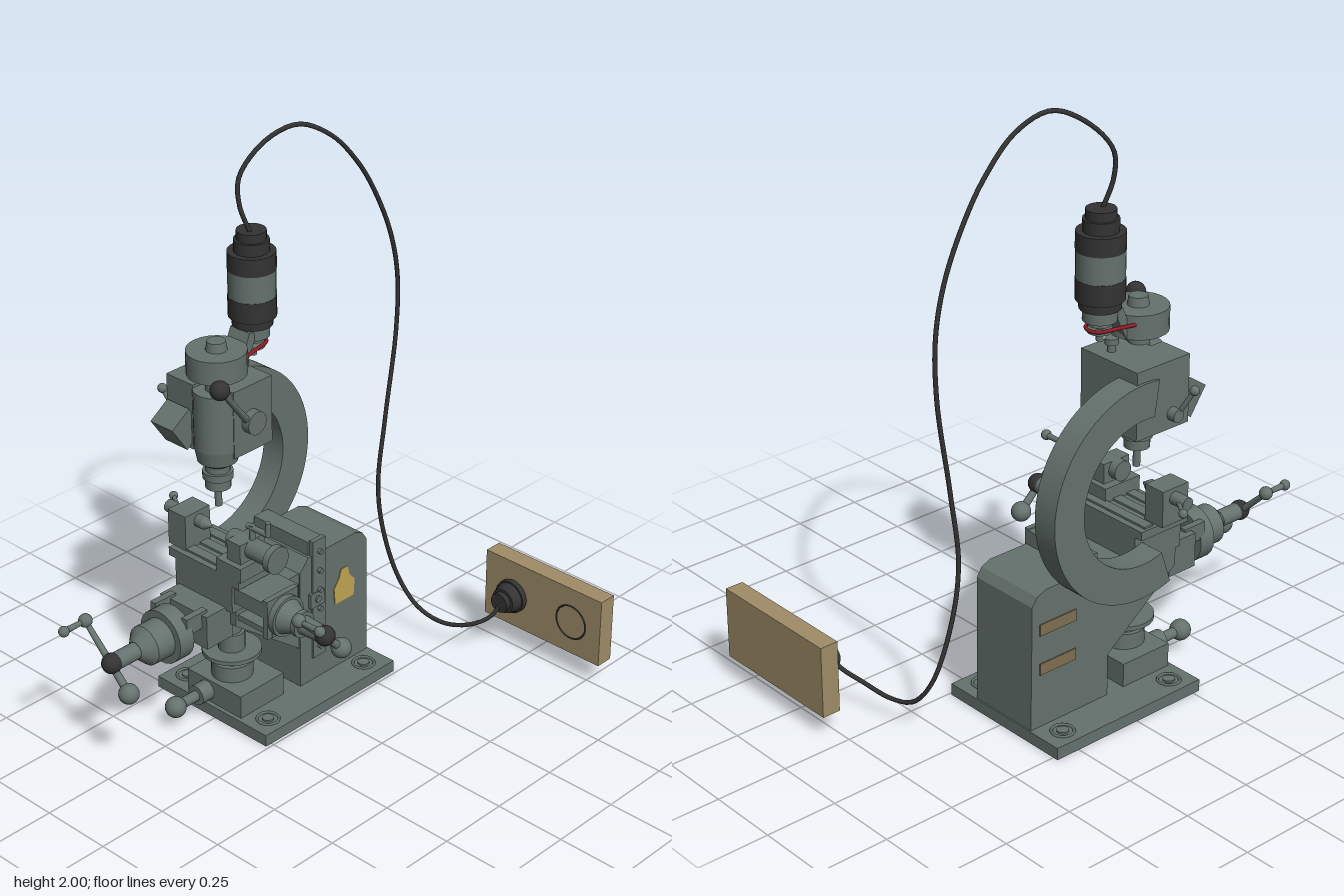
import * as THREE from 'three';

const mat = (name, color) => Object.assign(new THREE.MeshStandardMaterial({ color }), { name });

export function createModel() {
  const root = new THREE.Group();
  root.name = 'millingMachine';
  const iron = mat('greyIron', 0x65726d), black = mat('blackPlastic', 0x333333);
  const wood = mat('wood', 0xa08c68), brass = mat('brassPlate', 0xc0a552);
  const red = mat('redBelt', 0x8e1c24), bronze = mat('bronzeLabel', 0x806f50);
  const V = (x, y, z) => new THREE.Vector3(x, y, z);

  const add = (name, geo, m, parent = root) => {
    const mesh = new THREE.Mesh(geo, m);
    mesh.name = name;
    parent.add(mesh);
    return mesh;
  };
  // Box given by its limits
  const box = (name, x0, x1, y0, y1, z0, z1, m = iron) => {
    const b = add(name, new THREE.BoxGeometry(x1 - x0, y1 - y0, z1 - z0), m);
    b.position.set((x0 + x1) / 2, (y0 + y1) / 2, (z0 + z1) / 2);
    return b;
  };
  // Cylinder or cone between two points
  const rod = (name, a, b, r0, r1 = r0, m = iron, parent = root) => {
    const d = b.clone().sub(a);
    const c = add(name, new THREE.CylinderGeometry(r1, r0, d.length(), 24), m, parent);
    c.position.copy(a).addScaledVector(d, 0.5);
    c.quaternion.setFromUnitVectors(V(0, 1, 0), d.normalize());
    return c;
  };
  const ball = (name, p, r, m = iron, parent = root) => {
    const s = add(name, new THREE.SphereGeometry(r, 20, 14), m, parent);
    s.position.copy(p);
    return s;
  };
  // Upright turned part: rows of [bottom, top, bottom radius, top radius]
  const turned = (name, x, z, rows, m = iron) => rows.forEach(([y0, y1, r0, r1 = r0]) =>
    rod(name, V(x, y0, z), V(x, y1, z), r0, r1, m));
  // Side outline in (-z, y), extruded along x
  const side = (name, shape, x0, x1, m = iron) => {
    const g = new THREE.ExtrudeGeometry(shape, { depth: x1 - x0, bevelEnabled: false, curveSegments: 32 });
    g.rotateY(Math.PI / 2).translate(x0, 0, 0);
    return add(name, g, m);
  };
  const poly = pts => new THREE.Shape(pts.map(([z, y]) => new THREE.Vector2(-z, y)));

  // Base plate with bolt seats
  box('basePlate', -0.52, -0.01, 0, 0.042, -0.34, 0.275);
  for (const x of [-0.455, -0.075]) for (const z of [-0.26, 0.2]) {
    const ring = add('boltSeat', new THREE.TorusGeometry(0.036, 0.005, 6, 28), iron);
    ring.rotation.x = Math.PI / 2;
    ring.position.set(x, 0.043, z);
    rod('baseBolt', V(x, 0.04, z), V(x, 0.048, z), 0.02);
  }
  box('underLabel', -0.32, -0.2, -0.001, 0.002, -0.1, 0.0, brass).position.y = 0.001;

  // Column, its bolted edge strip and labels
  side('column', poly([[-0.01, 0.04], [-0.01, 0.48], [-0.05, 0.525], [-0.275, 0.525],
    [-0.31, 0.51], [-0.33, 0.48], [-0.335, 0.04]]), -0.39, -0.13);
  box('columnCap', -0.39, -0.14, 0.5, 0.575, -0.125, -0.06);
  box('edgeStrip', -0.14, -0.123, 0.13, 0.58, -0.125, -0.065);
  for (let i = 0; i < 6; i++) {
    const y = 0.17 + i * 0.073;
    rod('stripBolt', V(-0.13, y, -0.095), V(-0.112, y, -0.095), 0.009);
  }
  box('switchPlate', -0.13, -0.119, 0.33, 0.385, -0.115, -0.05);
  rod('switchButton', V(-0.12, 0.358, -0.083), V(-0.113, 0.358, -0.083), 0.012);
  side('brassBadge', poly([[-0.175, 0.29], [-0.17, 0.35], [-0.195, 0.385], [-0.205, 0.415],
    [-0.235, 0.415], [-0.245, 0.38], [-0.27, 0.35], [-0.265, 0.29]]), -0.13, -0.127, brass);
  for (const y of [0.23, 0.37]) box('sideLabel', -0.394, -0.39, y, y + 0.04, -0.3, -0.15, bronze);

  // Curved overhead arm
  const arm = new THREE.Shape();
  arm.absarc(-0.05, 0.78, 0.37, -1.9, 1.72, false);
  arm.absarc(-0.05, 0.78, 0.25, 1.72, -1.9, true);
  side('curvedArm', arm, -0.48, -0.39);

  // Head bracket and spindle
  box('headBlock', -0.47, -0.35, 0.96, 1.19, 0.02, 0.24);
  box('headBridge', -0.36, -0.22, 0.955, 1.19, 0.02, 0.19);
  const clamp = box('tiltedClamp', -0.46, -0.36, 0.98, 1.09, 0.21, 0.3);
  clamp.rotation.x = 0.6;
  turned('spindleHousing', -0.297, 0.19, [[1.18, 1.24, 0.035], [0.98, 1.18, 0.075],
    [0.93, 0.98, 0.066, 0.075], [0.915, 0.93, 0.045, 0.066], [0.89, 0.915, 0.04],
    [0.865, 0.89, 0.05], [0.83, 0.865, 0.042], [0.76, 0.83, 0.012]]);
  turned('pulleyGuard', -0.297, 0.185, [[1.235, 1.315, 0.098], [1.315, 1.345, 0.035, 0.03]]);

  // Feed lever on the spindle side
  rod('feedLeverHub', V(-0.26, 1.065, 0.115), V(-0.19, 1.065, 0.115), 0.04);
  rod('feedLever', V(-0.22, 1.05, 0.115), V(-0.148, 1.27, 0.315), 0.013, 0.008);
  ball('feedLeverKnob', V(-0.148, 1.272, 0.317), 0.032, black);
  ball('feedLeverEnd', V(-0.222, 1.045, 0.112), 0.022);

  // Clamp lever on the arm side
  rod('clampShaft', V(-0.5, 1.01, 0.17), V(-0.45, 1.01, 0.17), 0.022);
  rod('clampLever', V(-0.485, 1.01, 0.18), V(-0.535, 1.1, 0.2), 0.008);
  ball('clampKnob', V(-0.535, 1.1, 0.2), 0.016);

  // Motor, its bracket and the belt
  turned('motorBody', -0.297, 0.025, [[1.35, 1.38, 0.066], [1.38, 1.45, 0.078],
    [1.54, 1.6, 0.078], [1.6, 1.64, 0.057], [1.64, 1.67, 0.048]], black);
  turned('motorBand', -0.297, 0.025, [[1.45, 1.54, 0.077]]);
  turned('motorNose', -0.297, 0.025, [[1.31, 1.35, 0.055], [1.295, 1.31, 0.04],
    [1.27, 1.28, 0.04], [1.24, 1.3, 0.012]]);
  turned('motorPost', -0.297, 0.075, [[1.18, 1.235, 0.014], [1.215, 1.235, 0.022]]);
  side('motorBracket', poly([[0.13, 1.23], [0.1, 1.23], [0.06, 1.31], [0.03, 1.31],
    [0.03, 1.345], [0.08, 1.345]]), -0.34, -0.255);
  for (const s of [-1, 1]) rod('driveBelt', V(-0.297 + s * 0.04, 1.285, 0.02),
    V(-0.297 + s * 0.07, 1.285, 0.15), 0.006, 0.006, red);
  const loop = add('driveBelt', new THREE.TorusGeometry(0.04, 0.006, 6, 20, Math.PI), red);
  loop.rotation.x = -Math.PI / 2;
  loop.position.set(-0.297, 1.285, 0.02);

  // Knee: two ribs, top slab and sloping web
  for (const x of [-0.39, -0.165]) side('kneeRib', poly([[-0.01, 0.19], [0.28, 0.41],
    [0.28, 0.48], [-0.01, 0.48]]), x, x + 0.03);
  side('kneeWeb', poly([[-0.01, 0.29], [0.12, 0.39], [0.28, 0.43], [0.28, 0.48], [-0.01, 0.48]]), -0.37, -0.15);

  // Elevating screw and its gearbox
  box('screwBase', -0.39, -0.14, 0.04, 0.125, 0.06, 0.26);
  turned('elevatingScrew', -0.27, 0.17, [[0.12, 0.18, 0.07], [0.18, 0.21, 0.055, 0.045],
    [0.21, 0.225, 0.1], [0.225, 0.29, 0.045], [0.29, 0.45, 0.033]]);
  rod('screwShaft', V(-0.3, 0.082, 0.25), V(-0.3, 0.082, 0.31), 0.035);
  rod('screwShaft', V(-0.3, 0.082, 0.3), V(-0.3, 0.082, 0.4), 0.018);
  ball('screwKnob', V(-0.3, 0.082, 0.402), 0.036);

  // Saddle, slides and work table
  box('saddle', -0.39, -0.13, 0.47, 0.57, 0.1, 0.3);
  box('workTable', -0.42, -0.1, 0.57, 0.6, 0.1, 0.3);
  for (const z of [0.14, 0.2, 0.26]) box('tableRail', -0.41, -0.11, 0.598, 0.607, z - 0.018, z + 0.018);
  box('crossSlide', -0.14, 0.0, 0.505, 0.56, 0.13, 0.29);
  box('crossSlideBar', -0.14, 0.02, 0.43, 0.45, 0.17, 0.27);
  box('crossSlideEnd', -0.002, 0.018, 0.43, 0.57, 0.15, 0.29);
  box('frontApron', -0.375, -0.16, 0.36, 0.48, 0.27, 0.385);
  for (const x of [-0.34, -0.195]) box('frontSlideBar', x - 0.012, x + 0.012, 0.43, 0.49, 0.36, 0.45);
  rod('feedScrew', V(-0.265, 0.41, 0.3), V(-0.265, 0.41, 0.45), 0.03);

  // Hand crank along local +x, with its turned bearing
  const crank = (name, x, y, z, turn, rows) => {
    const g = new THREE.Group();
    g.name = name;
    g.position.set(x, y, z);
    g.rotation.y = turn;
    root.add(g);
    rows.forEach(([a, b, r0, r1 = r0]) => rod('bearing', V(a, 0, 0), V(b, 0, 0), r0, r1, iron, g));
    ball('hub', V(0, 0, 0), 0.034, black, g);
    rod('crankArm', V(0, -0.08, -0.075), V(0, 0.105, 0.115), 0.014, 0.009, iron, g);
    ball('counterweight', V(0, -0.08, -0.075), 0.034, iron, g);
    ball('armEnd', V(0, 0.108, 0.117), 0.023, iron, g);
    rod('handle', V(0, 0.108, 0.117), V(0.09, 0.108, 0.117), 0.008, 0.011, iron, g);
    ball('handleTip', V(0.09, 0.108, 0.117), 0.018, iron, g);
  };
  crank('sideCrank', 0.2, 0.495, 0.218, 0, [[-0.2, -0.16, 0.07], [-0.16, -0.11, 0.06, 0.035],
    [-0.11, -0.09, 0.045], [-0.09, 0, 0.032, 0.028]]);
  crank('frontCrank', -0.265, 0.41, 0.7, -Math.PI / 2, [[-0.27, -0.21, 0.093], [-0.21, -0.14, 0.068],
    [-0.14, -0.1, 0.068, 0.03], [-0.1, 0, 0.029]]);

  // Tailstock and dividing head on the table
  box('tailstock', -0.44, -0.36, 0.6, 0.725, 0.17, 0.28);
  rod('tailstockQuill', V(-0.5, 0.69, 0.22), V(-0.33, 0.69, 0.22), 0.022);
  rod('tailstockPoint', V(-0.33, 0.69, 0.22), V(-0.3, 0.69, 0.22), 0.022, 0.003);
  rod('tailstockLever', V(-0.48, 0.69, 0.2), V(-0.535, 0.69, 0.165), 0.007);
  ball('tailstockKnob', V(-0.535, 0.69, 0.165), 0.015);
  box('dividingHeadFoot', -0.2, -0.09, 0.6, 0.65, 0.15, 0.3);
  box('dividingHead', -0.17, -0.11, 0.64, 0.72, 0.17, 0.28);
  rod('dividingSpindle', V(-0.2, 0.69, 0.225), V(-0.02, 0.69, 0.225), 0.035);
  rod('dividingPlate', V(-0.02, 0.69, 0.225), V(0.004, 0.69, 0.225), 0.047);
  rod('dividingPin', V(-0.11, 0.7, 0.225), V(-0.11, 0.775, 0.225), 0.01);
  rod('dividingArm', V(-0.13, 0.765, 0.225), V(-0.04, 0.765, 0.225), 0.01);
  rod('dividingGrip', V(-0.04, 0.76, 0.225), V(-0.04, 0.81, 0.225), 0.009);

  // Wall outlet board, socket outline and plug
  box('outletBoard', 0.05, 0.55, 0.08, 0.33, -0.81, -0.745, wood);
  const socket = add('socketRim', new THREE.TorusGeometry(0.062, 0.003, 6, 36), black);
  socket.position.set(0.425, 0.2, -0.745);
  [[-0.745, -0.725, 0.06], [-0.725, -0.69, 0.055, 0.045], [-0.69, -0.67, 0.035]].forEach(
    ([a, b, r0, r1 = r0]) => rod('plug', V(0.172, 0.2, a), V(0.172, 0.2, b), r0, r1, black));

  // Power cable
  const path = new THREE.CatmullRomCurve3([
    V(-0.29, 1.66, 0.035), V(-0.31, 1.76, 0.062), V(-0.315, 1.85, 0.055), V(-0.285, 1.95, -0.03),
    V(-0.235, 1.991, -0.12), V(-0.195, 1.94, -0.22), V(-0.18, 1.82, -0.33), V(-0.175, 1.69, -0.41),
    V(-0.173, 1.53, -0.48), V(-0.178, 1.37, -0.52), V(-0.185, 1.17, -0.525), V(-0.193, 0.85, -0.485),
    V(-0.2, 0.6, -0.462), V(-0.195, 0.4, -0.49), V(-0.165, 0.2, -0.545), V(-0.1, 0.11, -0.57),
    V(0, 0.085, -0.586), V(0.1, 0.11, -0.615), V(0.155, 0.15, -0.655), V(0.172, 0.195, -0.68)]);
  add('powerCable', new THREE.TubeGeometry(path, 120, 0.0075, 8), black);

  return root;
}
